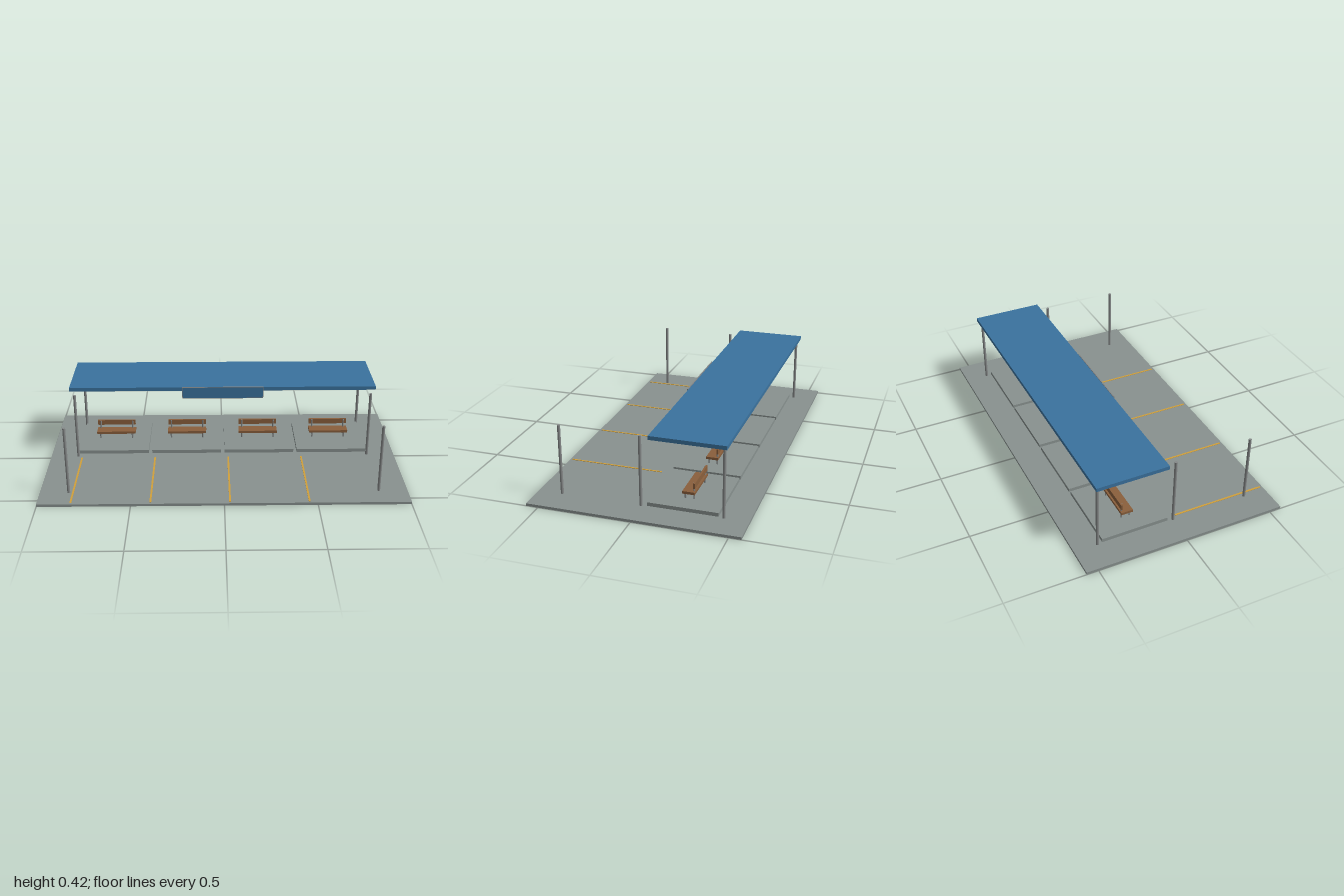
import * as THREE from 'three';

const mat = (name, color) => {
  const m = new THREE.MeshStandardMaterial({ color });
  m.name = name;
  return m;
};

export function createModel() {
  const concrete = mat('concrete', 0x88918f);
  const metal = mat('grey metal', 0x858888);
  const blue = mat('blue paint', 0x3a729e);
  const wood = mat('brown wood', 0x8a5f3c);
  const yellow = mat('yellow paint', 0xd0a03c);

  const model = new THREE.Group();
  model.name = 'benchShelter';

  // Box given by its extents on each axis
  const box = (parent, name, material, [x0, x1], [y0, y1], [z0, z1]) => {
    const mesh = new THREE.Mesh(new THREE.BoxGeometry(x1 - x0, y1 - y0, z1 - z0), material);
    mesh.position.set((x0 + x1) / 2, (y0 + y1) / 2, (z0 + z1) / 2);
    mesh.name = name;
    parent.add(mesh);
    return mesh;
  };
  // Upright round post standing between two heights
  const post = (parent, name, r, x, y0, y1, z) => {
    const mesh = new THREE.Mesh(new THREE.CylinderGeometry(r, r, y1 - y0, 16), metal);
    mesh.position.set(x, (y0 + y1) / 2, z);
    mesh.name = name;
    parent.add(mesh);
  };

  // Ground slab and roof
  box(model, 'groundSlab', concrete, [-1, 1], [0, 0.014], [-0.565, 0.565]);
  box(model, 'roof', blue, [-0.88, 0.88], [0.4, 0.421], [-0.455, -0.055]);

  // Fascia sign with a slim metal trim
  const sign = new THREE.Group();
  sign.name = 'sign';
  model.add(sign);
  const signZ = [-0.055, -0.049];
  box(sign, 'signPanel', blue, [-0.23, 0.23], [0.357, 0.421], signZ);
  for (const s of [-1, 1]) {
    box(sign, 'signSideTrim', metal, [s * 0.2315 - 0.0015, s * 0.2315 + 0.0015], [0.354, 0.424], signZ);
    const y = 0.389 + s * 0.0335;
    box(sign, 'signEdgeTrim', metal, [-0.23, 0.23], [y - 0.0015, y + 0.0015], signZ);
  }

  // Posts in three rows
  for (const x of [-0.843, 0.843])
    for (const z of [-0.434, 0.001, 0.435]) post(model, 'post', 0.008, x, 0.014, 0.4, z);

  // Four bays: platform, bench and painted line
  for (let i = 0; i < 4; i++) {
    const cx = -0.6375 + i * 0.425;
    box(model, 'platform', concrete, [cx - 0.2025, cx + 0.2025], [0.014, 0.034], [-0.406, -0.029]);

    const bench = new THREE.Group();
    bench.name = 'bench';
    bench.position.x = cx;
    model.add(bench);
    box(bench, 'seat', wood, [-0.115, 0.115], [0.065, 0.079], [-0.255, -0.188]);
    box(bench, 'backrest', wood, [-0.113, 0.113], [0.099, 0.129], [-0.255, -0.245]);
    for (const x of [-0.095, 0.095]) {
      post(bench, 'frontLeg', 0.0045, x, 0.034, 0.067, -0.2);
      post(bench, 'backLeg', 0.0045, x, 0.034, 0.127, -0.246);
    }

    const lx = -0.82 + i * 0.425;
    box(model, 'bayLine', yellow, [lx - 0.005, lx + 0.005], [0.013, 0.0165], [0.025, 0.552]);
  }
  return model;
}
